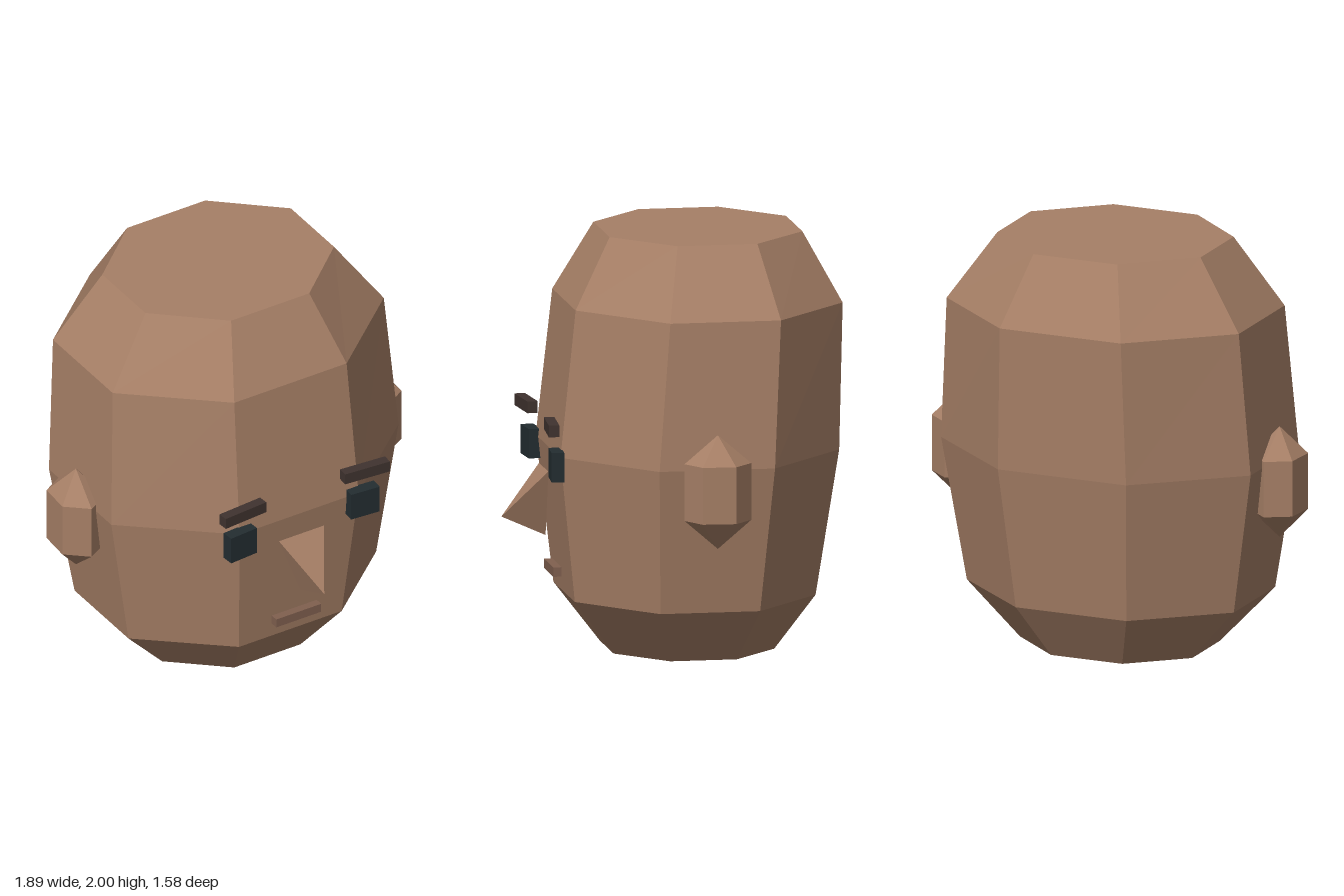
import * as THREE from 'three';

const mat = (color) => new THREE.MeshStandardMaterial({ color, flatShading: true });

function addMesh(group, name, geometry, material, x = 0, y = 0, z = 0, turn = 0) {
  const mesh = new THREE.Mesh(geometry, material);
  mesh.name = name;
  mesh.position.set(x, y, z);
  mesh.rotation.y = turn;
  group.add(mesh);
  return mesh;
}

// Octagonal head: each ring is [y, half width, half depth, centre z], bottom to top
const RINGS = [
  [0, 0.445, 0.385, -0.1],
  [0.27, 0.69, 0.577, -0.088],
  [0.97, 0.8, 0.668, -0.102],
  [1.67, 0.755, 0.64, -0.15],
  [2, 0.525, 0.462, -0.152],
];

function headGeometry() {
  const geo = new THREE.CylinderGeometry(1, 1, 1, 8, RINGS.length - 1, false, Math.PI / 8);
  const pos = geo.attributes.position;
  const flat = Math.cos(Math.PI / 8);
  for (let i = 0; i < pos.count; i++) {
    const [y, w, d, cz] = RINGS[Math.round((pos.getY(i) + 0.5) * (RINGS.length - 1))];
    pos.setXYZ(i, (pos.getX(i) * w) / flat, y, (pos.getZ(i) * d) / flat + cz);
  }
  geo.computeVertexNormals();
  return geo;
}

// Four-cornered wedge with its tip pointing forward
function noseGeometry() {
  const left = [0.125, 0.87, 0.587], right = [-0.125, 0.87, 0.587];
  const base = [0, 0.545, 0.578], tip = [0, 0.64, 0.79];
  const faces = [right, tip, left, left, tip, base, base, tip, right, left, base, right];
  const geo = new THREE.BufferGeometry();
  geo.setAttribute('position', new THREE.Float32BufferAttribute(faces.flat(), 3));
  geo.computeVertexNormals();
  return geo;
}

export function createModel() {
  const group = new THREE.Group();
  group.name = 'head';
  const skin = mat(0xa67f66);
  const eyeMat = mat(0x232d31);
  const browMat = mat(0x40332f);
  const lipMat = mat(0x80604f);

  addMesh(group, 'skull', headGeometry(), skin);
  addMesh(group, 'nose', noseGeometry(), skin);
  addMesh(group, 'mouth', new THREE.BoxGeometry(0.25, 0.045, 0.04), lipMat, 0, 0.388, 0.543);

  // Six-sided ears, slightly turned
  const ear = new THREE.SphereGeometry(1, 6, 3);
  ear.rotateY(THREE.MathUtils.degToRad(25));
  ear.scale(0.15, 0.272, 0.183);

  const eye = new THREE.BoxGeometry(0.152, 0.14, 0.06);
  const brow = new THREE.BoxGeometry(0.238, 0.056, 0.05);

  for (const [side, s] of [['left', 1], ['right', -1]]) {
    addMesh(group, side + 'Ear', ear, skin, s * 0.825, 0.87, -0.1);
    addMesh(group, side + 'Eye', eye, eyeMat, s * 0.34, 0.938, 0.587, -s * 0.08);
    addMesh(group, side + 'Brow', brow, browMat, s * 0.34, 1.12, 0.61, -s * 0.08);
  }
  return group;
}
